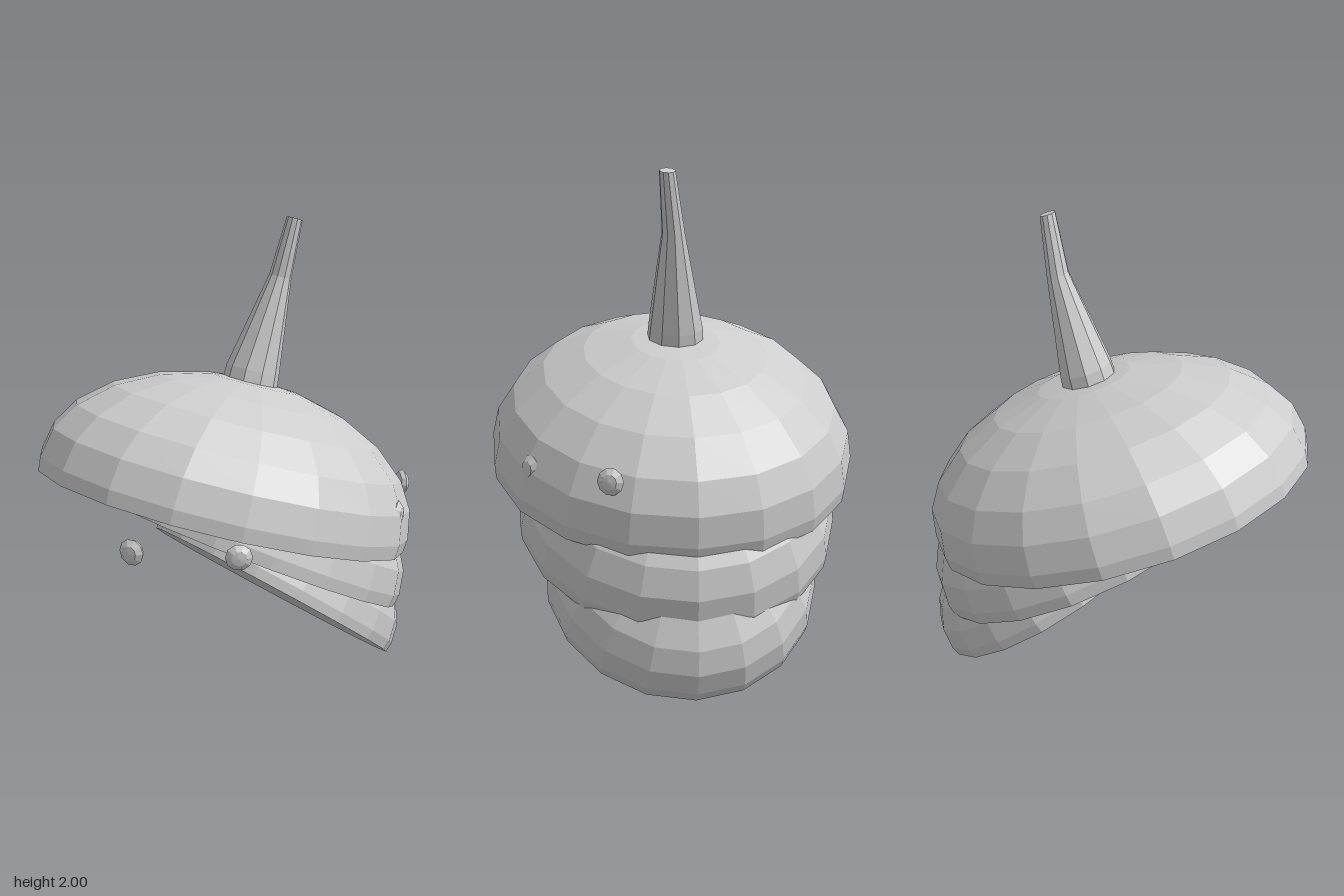
import * as THREE from 'three';

const rad = THREE.MathUtils.degToRad;
const grey = new THREE.MeshStandardMaterial({ color: 0xcccccc, flatShading: true });
grey.name = 'plain grey';

// closed faceted solid of revolution, profile listed bottom to top
function turned(points, sides) {
  const profile = points.map(([r, y]) => new THREE.Vector2(r, y));
  return new THREE.LatheGeometry(profile, sides, Math.PI / 2);
}

// flattened dome that runs a little below its equator, with a flat underside
function dome(name, scale, x, y, tilt) {
  const angles = [-7, 0, 14, 28, 44, 60, 76];
  const points = [[0, -0.06]];
  for (const a of angles) points.push([0.75 * Math.cos(rad(a)), 0.495 * Math.sin(rad(a))]);
  points.push([0, 0.495]);
  const mesh = new THREE.Mesh(turned(points, 18), grey);
  mesh.name = name;
  mesh.scale.set(1.1 * scale, scale, scale);
  mesh.position.set(x, y, 0);
  mesh.rotation.z = rad(-tilt);
  return mesh;
}

// bent stem: tapering rings, all tilted with the top dome
function stem() {
  const sides = 10;
  const rings = [
    [0.10, 1.28, 0, 0.118],
    [0.125, 1.37, 0, 0.112],
    [0.245, 1.75, 0.025, 0.047],
    [0.293, 1.99, 0.055, 0.033],
  ];
  const tilt = rad(-18);
  const pos = [];
  const index = [];
  for (const [x, y, z, r] of rings) {
    for (let i = 0; i < sides; i++) {
      const a = (i / sides) * Math.PI * 2;
      const u = r * Math.cos(a);
      pos.push(x + u * Math.cos(tilt), y + u * Math.sin(tilt), z + r * Math.sin(a));
    }
  }
  for (let k = 0; k < rings.length - 1; k++) {
    for (let i = 0; i < sides; i++) {
      const a = k * sides + i;
      const b = k * sides + (i + 1) % sides;
      index.push(a, a + sides, b, b, a + sides, b + sides);
    }
  }
  // tip cap
  const [tx, ty, tz] = rings[rings.length - 1];
  const first = (rings.length - 1) * sides;
  pos.push(tx, ty, tz);
  for (let i = 0; i < sides; i++) index.push(first + i, rings.length * sides, first + (i + 1) % sides);
  const geometry = new THREE.BufferGeometry();
  geometry.setAttribute('position', new THREE.Float32BufferAttribute(pos, 3));
  geometry.setIndex(index);
  geometry.computeVertexNormals();
  const mesh = new THREE.Mesh(geometry, grey);
  mesh.name = 'stem';
  return mesh;
}

export function createModel() {
  const model = new THREE.Group();
  model.name = 'stackedDomes';

  model.add(
    dome('topDome', 1, -0.015, 0.855, 18),
    dome('middleDome', 0.867, 0.122, 0.625, 27),
    dome('bottomDome', 0.733, 0.262, 0.387, 36),
    stem(),
  );

  // small round studs facing outward, mirrored left and right
  const studGeometry = turned([[0, -0.018], [0.045, -0.018], [0.053, 0], [0.03, 0.018], [0, 0.022]], 10);
  studGeometry.rotateX(Math.PI / 2);
  for (const side of [1, -1]) {
    for (const [x, z] of [[0.405, 0.605], [0.7, 0.32]]) {
      const stud = new THREE.Mesh(studGeometry, grey);
      stud.name = side > 0 ? 'leftStud' : 'rightStud';
      stud.position.set(side * x, 0.85, z);
      stud.rotation.y = Math.atan2(side * x, z);
      model.add(stud);
    }
  }
  return model;
}
